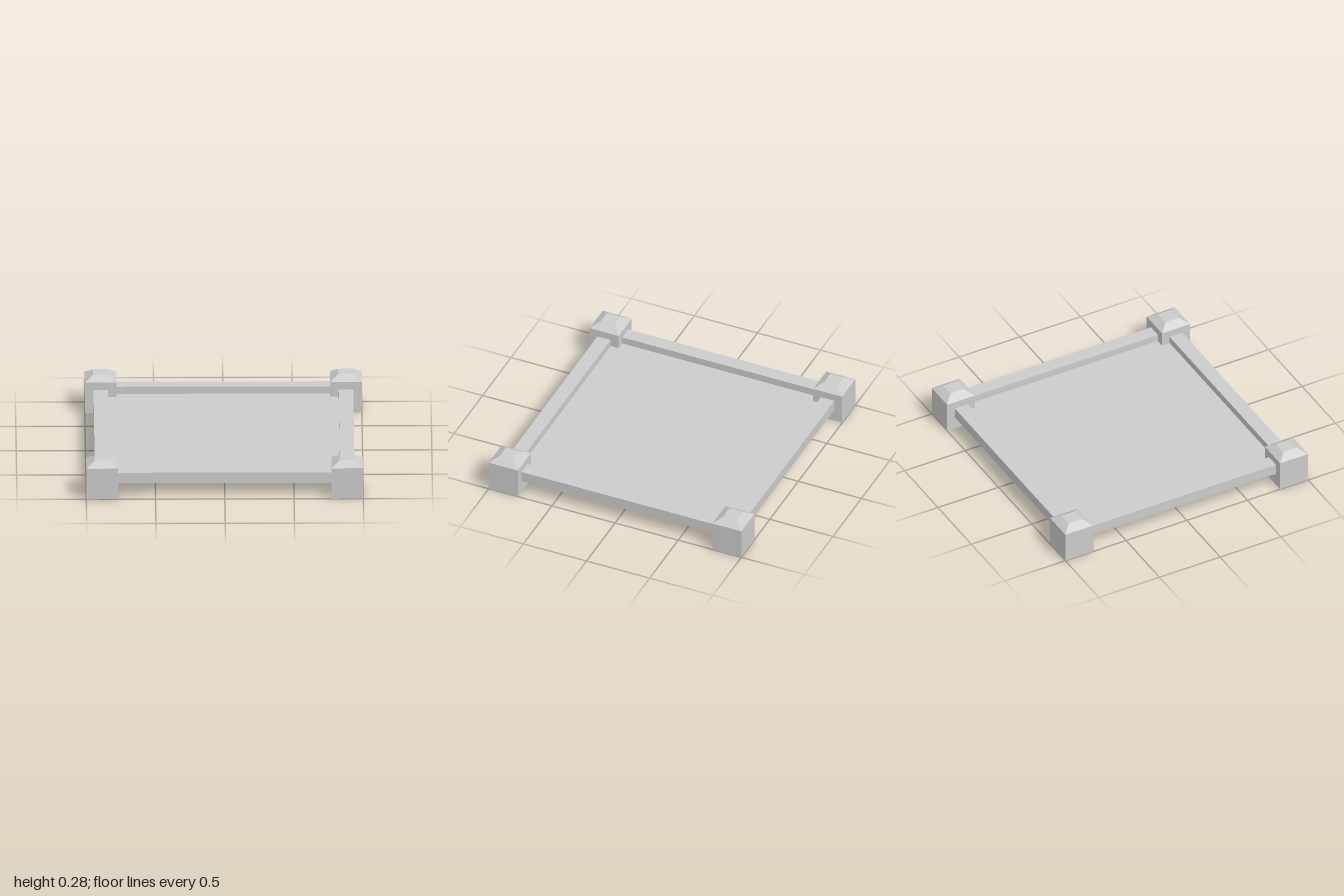
import * as THREE from 'three';

const material = new THREE.MeshStandardMaterial({ color: 0xcccccc, flatShading: true });

function addMesh(parent, name, geometry, x, y, z) {
  const mesh = new THREE.Mesh(geometry, material);
  mesh.name = name;
  mesh.position.set(x, y, z);
  parent.add(mesh);
  return mesh;
}

export function createModel() {
  const model = new THREE.Group();
  model.name = 'platform';

  const postSize = 0.23, postHeight = 0.235, capHeight = 0.04, capTop = 0.11;
  const centre = 1 - postSize / 2;
  const railLength = 2 * (1 - postSize), railWidth = 0.105, railHeight = 0.08, railY = 0.14;

  // Corner posts with bevelled caps
  const postGeometry = new THREE.BoxGeometry(postSize, postHeight, postSize);
  const capGeometry = new THREE.CylinderGeometry(
    capTop * Math.SQRT1_2, postSize * Math.SQRT1_2, capHeight, 4, 1);
  capGeometry.rotateY(Math.PI / 4);
  for (const sx of [-1, 1]) {
    for (const sz of [-1, 1]) {
      const post = new THREE.Group();
      post.name = (sz > 0 ? 'front' : 'back') + (sx > 0 ? 'Left' : 'Right') + 'Post';
      post.position.set(sx * centre, 0, sz * centre);
      addMesh(post, 'postBody', postGeometry, 0, postHeight / 2, 0);
      addMesh(post, 'postCap', capGeometry, 0, postHeight + capHeight / 2, 0);
      model.add(post);
    }
  }

  // Rails between the posts
  const railGeometry = new THREE.BoxGeometry(railLength, railHeight, railWidth);
  for (const s of [-1, 1]) {
    addMesh(model, s > 0 ? 'frontRail' : 'backRail', railGeometry, 0, railY, s * centre);
    addMesh(model, s > 0 ? 'leftRail' : 'rightRail', railGeometry, s * centre, railY, 0)
      .rotation.y = Math.PI / 2;
  }

  // Thin floor panel set inside the rails
  const floorSize = 2 * (centre - railWidth / 2) + 0.02;
  addMesh(model, 'floorPanel', new THREE.BoxGeometry(floorSize, 0.01, floorSize), 0, 0.12, 0);

  return model;
}
